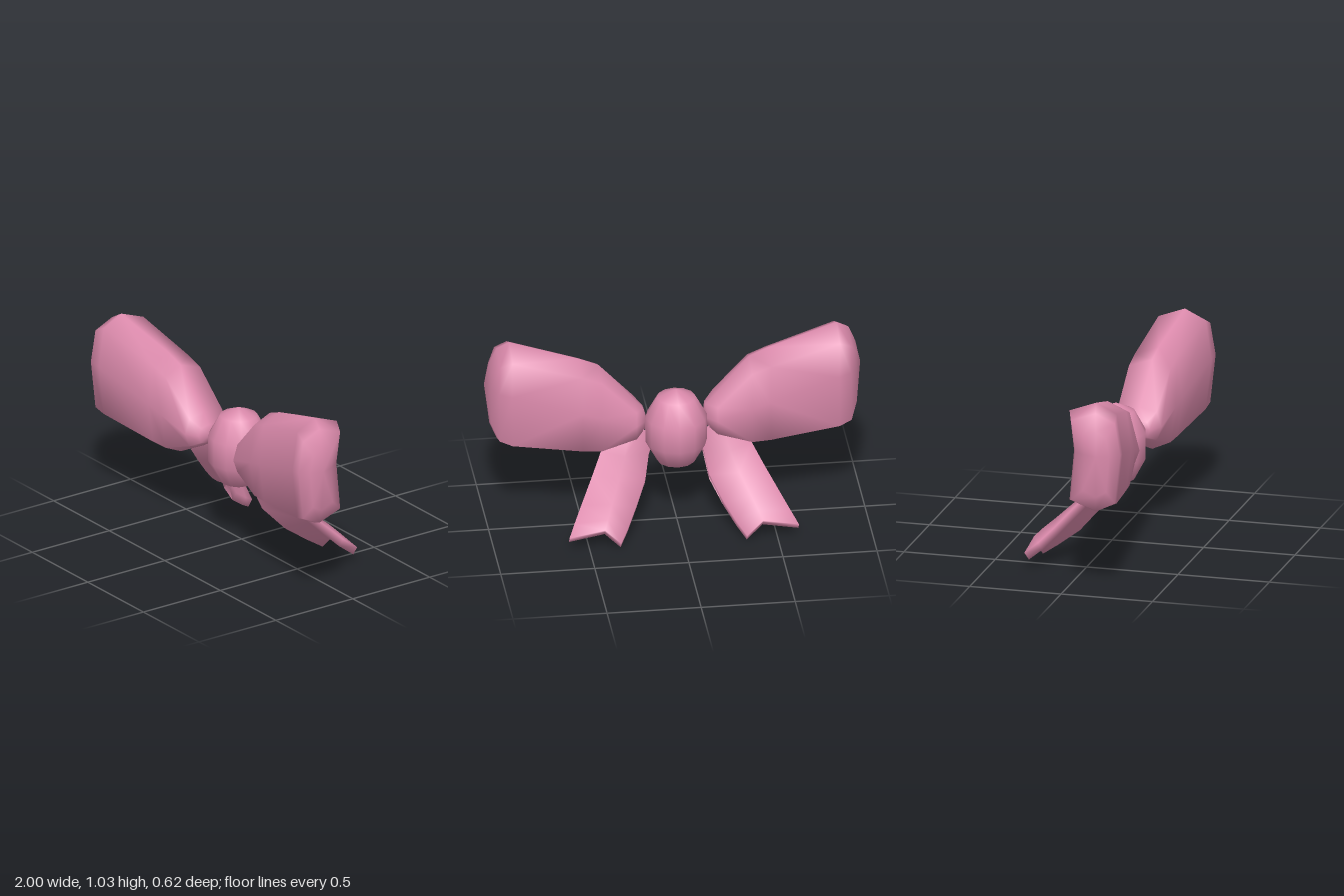
import * as THREE from 'three';

// Skin a list of rings, closing both ends with a centre point; side -1 mirrors in x.
function loft(rings, startTip, endTip, side) {
  const n = rings[0].length;
  const points = [...rings.flat(), startTip, endTip];
  const positions = points.flatMap(([x, y, z]) => [x * side, y, z]);
  const start = points.length - 2;
  const end = points.length - 1;
  const index = [];
  const tri = (a, b, c) => (side > 0 ? index.push(a, b, c) : index.push(a, c, b));
  for (let j = 0; j < n; j++) {
    const next = (j + 1) % n;
    for (let k = 0; k < rings.length - 1; k++) {
      const a = k * n + j, b = k * n + next;
      tri(a, b, a + n);
      tri(b, b + n, a + n);
    }
    const last = (rings.length - 1) * n;
    tri(next, j, start);
    tri(last + j, last + next, end);
  }
  const geometry = new THREE.BufferGeometry();
  geometry.setAttribute('position', new THREE.Float32BufferAttribute(positions, 3));
  geometry.setIndex(index);
  geometry.computeVertexNormals();
  return geometry;
}

// Eight-sided puffy cross-section of a loop; dent pushes in the middle of the back.
function loopRing([x, bottom, top, back, front, middle, dent]) {
  const zm = (back + front) / 2;
  const zf = zm + (front - zm) * 0.78;
  const inset = (top - bottom) * 0.09;
  return [
    [x, top, zm], [x, top - inset, zf], [x, middle, front], [x, bottom + inset, zf],
    [x, bottom, zm], [x, bottom + inset, back], [x, middle, back + dent], [x, top - inset, back],
  ];
}

// Thin ribbon cross-section from its outer edge, middle and inner edge.
function tailRing([outer, middle, inner]) {
  const behind = ([x, y, z]) => [x, y + 0.035, z - 0.025];
  return [outer, middle, inner, behind(inner), behind(middle), behind(outer)];
}

export function createModel() {
  const bow = new THREE.Group();
  bow.name = 'ribbonBow';
  const pink = new THREE.MeshStandardMaterial({ color: 0xde8cae });
  pink.name = 'pink';

  const add = (name, geometry) => {
    const mesh = new THREE.Mesh(geometry, pink);
    mesh.name = name;
    bow.add(mesh);
    return mesh;
  };

  // Centre knot
  const knot = add('knot', new THREE.SphereGeometry(1, 12, 5));
  knot.scale.set(0.173, 0.23, 0.17);
  knot.position.set(0, 0.53, 0.02);

  // Loop sections: x, bottom, top, back, front, middle height, dent
  const loopRings = [
    [0.165, 0.52, 0.62, 0.03, 0.16, 0.57, 0],
    [0.215, 0.485, 0.675, -0.03, 0.21, 0.575, 0],
    [0.40, 0.392, 0.885, -0.02, 0.235, 0.63, 0],
    [0.50, 0.392, 0.925, -0.015, 0.245, 0.66, 0],
    [0.87, 0.43, 1.03, 0.01, 0.30, 0.76, 0.025],
    [0.935, 0.455, 0.99, 0.035, 0.305, 0.77, 0.025],
    [0.972, 0.54, 0.90, 0.11, 0.255, 0.77, 0.01],
  ].map(loopRing);

  // Tail sections: outer edge, middle, inner edge
  const tailRings = [
    [[0.24, 0.52, 0.06], [0.18, 0.50, 0.04], [0.11, 0.46, 0.06]],
    [[0.40, 0.385, 0.04], [0.28, 0.36, 0.00], [0.145, 0.36, 0.04]],
    [[0.455, 0.29, -0.04], [0.32, 0.27, -0.08], [0.17, 0.23, -0.01]],
    [[0.53, 0.17, -0.15], [0.37, 0.18, -0.18], [0.235, 0.115, -0.11]],
    [[0.575, 0.10, -0.22], [0.40, 0.125, -0.245], [0.29, 0.045, -0.21]],
    [[0.61, 0.05, -0.285], [0.42, 0.085, -0.285], [0.335, 0.0, -0.285]],
  ].map(tailRing);

  for (const [prefix, side] of [['left', 1], ['right', -1]]) {
    add(prefix + 'Loop', loft(loopRings, [0.15, 0.57, 0.095], [1.0, 0.77, 0.19], side));
    add(prefix + 'Tail', loft(tailRings, [0.18, 0.515, 0.03], [0.42, 0.1025, -0.2975], side));
  }
  return bow;
}
